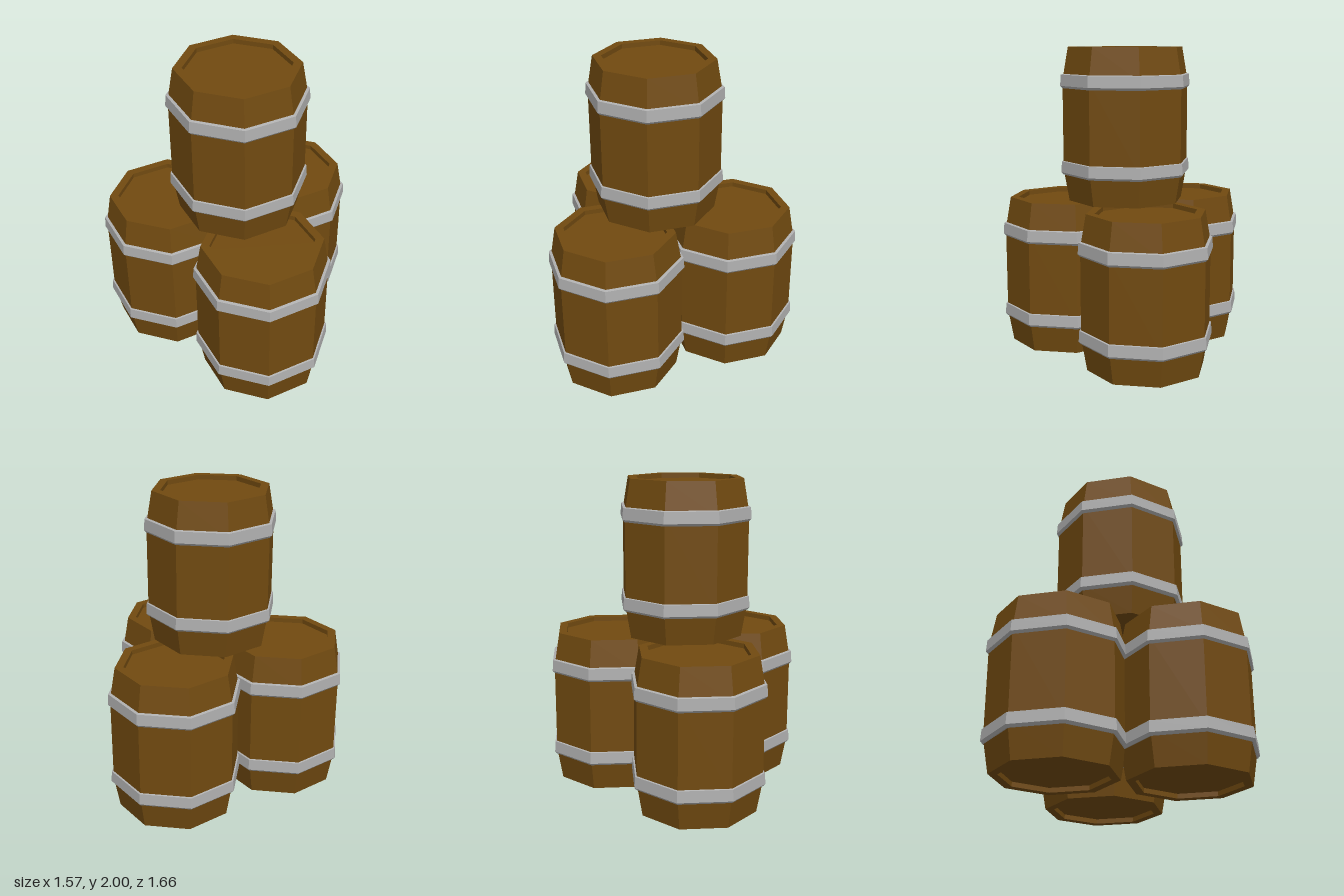
import * as THREE from 'three';

const SIDES = 8;

// Eight-sided solid of revolution from [radius, height] pairs, listed bottom to top
function turned(points, material, name) {
  const profile = points.map(([r, y]) => new THREE.Vector2(r, y));
  const mesh = new THREE.Mesh(new THREE.LatheGeometry(profile, SIDES), material);
  mesh.name = name;
  return mesh;
}

function createBarrel(wood, metal) {
  const barrel = new THREE.Group();

  // Staves with a raised rim and a sunken lid at both ends
  barrel.add(turned([
    [0, 0.03], [0.325, 0.03], [0.325, 0], [0.38, 0],
    [0.417, 0.21], [0.417, 0.79],
    [0.38, 1], [0.325, 1], [0.325, 0.97], [0, 0.97],
  ], wood, 'staves'));

  // Two bevelled hoops
  for (const [name, y] of [['lowerHoop', 0.175], ['upperHoop', 0.737]]) {
    const hoop = turned([
      [0.4, 0], [0.419, 0], [0.433, 0.015], [0.428, 0.087], [0.4, 0.094],
    ], metal, name);
    hoop.position.y = y;
    barrel.add(hoop);
  }
  return barrel;
}

export function createModel() {
  const wood = new THREE.MeshStandardMaterial({ color: 0x714a10 });
  const metal = new THREE.MeshStandardMaterial({ color: 0xafafaf });
  wood.name = 'wood';
  metal.name = 'metal';
  wood.flatShading = metal.flatShading = true;

  // Three barrels on the ground and one stacked on top
  const places = {
    backBarrel: [-0.352, 0, -0.395],
    frontBarrel: [-0.352, 0, 0.395],
    sideBarrel: [0.352, 0, 0],
    topBarrel: [-0.135, 1, 0.026],
  };
  const model = new THREE.Group();
  model.name = 'barrelStack';
  for (const [name, position] of Object.entries(places)) {
    const barrel = createBarrel(wood, metal);
    barrel.name = name;
    barrel.position.set(...position);
    model.add(barrel);
  }
  return model;
}
